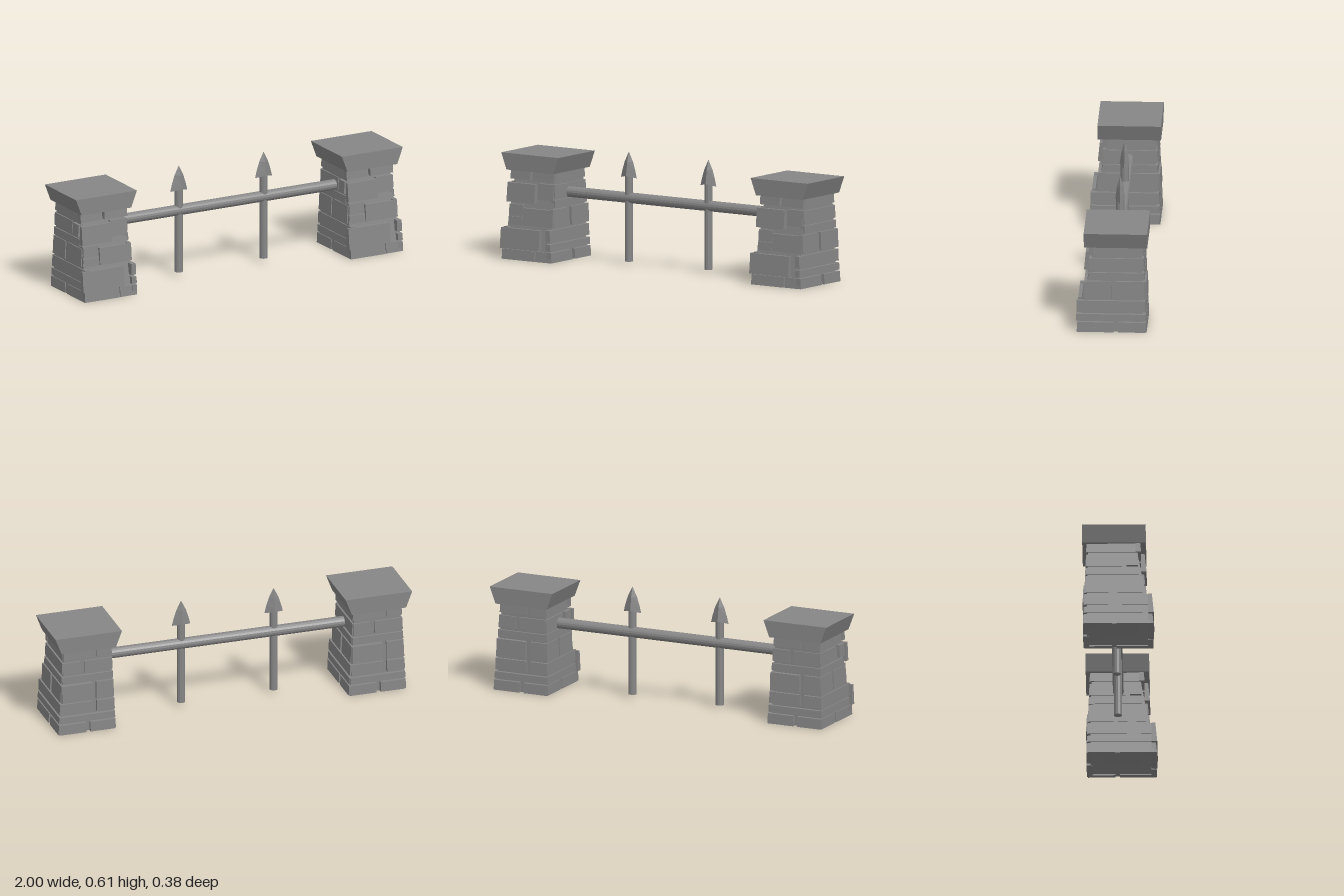
import * as THREE from 'three';

const mat = new THREE.MeshStandardMaterial({ color: 0x868686, flatShading: true });
const { lerp } = THREE.MathUtils;

function add(parent, name, geometry, x = 0, y = 0, z = 0) {
  const mesh = new THREE.Mesh(geometry, mat);
  mesh.name = name;
  mesh.position.set(x, y, z);
  parent.add(mesh);
  return mesh;
}

// Box whose bottom and top rectangles differ: each is [x0, x1, z0, z1]
function taperedBox(y0, y1, bottom, top) {
  const g = new THREE.BoxGeometry(1, 1, 1);
  const p = g.attributes.position;
  for (let i = 0; i < p.count; i++) {
    const up = p.getY(i) > 0;
    const r = up ? top : bottom;
    p.setXYZ(i, p.getX(i) > 0 ? r[1] : r[0], up ? y1 : y0, p.getZ(i) > 0 ? r[3] : r[2]);
  }
  g.computeVertexNormals();
  return g;
}

// Four-sided core with a funnel-shaped underside and a leaning front
function coreGeometry() {
  const profile = [[0, 0.035], [0.085, 0.035], [0.15, 0], [0.129, 0.476]]
    .map(([half, y]) => new THREE.Vector2(half * Math.SQRT2, y));
  const g = new THREE.LatheGeometry(profile, 4, Math.PI / 4);
  const p = g.attributes.position;
  for (let i = 0; i < p.count; i++) {
    const t = p.getY(i) / 0.476;
    p.setZ(i, p.getZ(i) * lerp(1.16, 0.98, t) + lerp(0.008, -0.033, t));
  }
  g.computeVertexNormals();
  return g;
}

// One stone on the side facing `turn`; its face leans in by `lean` per unit of height
function addStone(pillar, name, turn, u0, u1, y0, y1, reach, lean) {
  const inner = reach - 0.03;
  const top = reach - lean * (y1 - y0);
  add(pillar, name, taperedBox(y0, y1, [u0, u1, inner, reach], [u0, u1, inner, top])).rotation.y = turn;
}

// Irregular front stones: [left, right, bottom, top, reach]
const FRONT = [
  [-0.154, 0.057, 0, 0.055, 0.19],
  [0.064, 0.16, 0, 0.055, 0.187],
  [-0.165, 0.088, 0.058, 0.168, 0.192],
  [-0.14, -0.048, 0.182, 0.226, 0.15],
  [-0.138, -0.048, 0.232, 0.292, 0.146],
  [-0.042, 0.151, 0.185, 0.277, 0.156],
  [-0.149, 0.032, 0.305, 0.408, 0.153],
  [0.037, 0.138, 0.325, 0.412, 0.13],
  [-0.143, -0.015, 0.425, 0.475, 0.124],
  [0.001, 0.14, 0.425, 0.475, 0.126],
];

// Courses on the other sides: [bottom, top, front end]
const COURSES = [
  [0, 0.055, 0.185], [0.063, 0.1, 0.189], [0.112, 0.174, 0.187], [0.184, 0.282, 0.144],
  [0.29, 0.33, 0.123], [0.342, 0.41, 0.12], [0.425, 0.475, 0.116],
];

// How far each side reaches at height y
const rightReach = (y) => 0.167 - 0.065 * y;
const leftReach = (y) => 0.155 - 0.04 * y;
const backReach = (y) => 0.187 - 0.04 * y;

// Fill each course from end to end, with a joint where one is given;
// the stone after (or before) the joint of the proud course stands out
function addCourses(pillar, name, turn, joints, reach, ends, proud = -1, proudPart = 0) {
  COURSES.forEach(([y0, y1, front], i) => {
    const [u0, u1] = ends(y0, front);
    const joint = joints[i];
    const parts = joint === undefined ? [[u0, u1]] : [[u0, joint - 0.012], [joint + 0.012, u1]];
    parts.forEach(([a, b], k) => {
      const extra = i === proud && k === proudPart ? 0.01 : 0;
      addStone(pillar, name, turn, a, b, y0, y1, reach(y0) + extra, 0.05);
    });
  });
}

function createPillar() {
  const pillar = new THREE.Group();
  add(pillar, 'pillarCore', coreGeometry());
  for (const [u0, u1, y0, y1, reach] of FRONT) {
    addStone(pillar, 'frontStone', 0, u0, u1, y0, y1, reach, 0.1);
  }
  addCourses(pillar, 'rightStone', Math.PI / 2, { 0: 0.022, 3: 0.01 }, rightReach,
    (y, front) => [-front, backReach(y) - 0.006]);
  addCourses(pillar, 'leftStone', -Math.PI / 2, { 0: -0.018, 3: -0.03, 5: 0.035 }, leftReach,
    (y, front) => [0.006 - backReach(y), front - 0.012], 5, 1);
  addCourses(pillar, 'backStone', Math.PI, { 0: 0, 2: 0.037, 3: 0.035, 5: -0.03, 6: 0.037 }, backReach,
    (y) => [0.007 - rightReach(y), leftReach(y) - 0.007], 3, 0);
  // Cap flaring sideways only
  add(pillar, 'pillarCap', taperedBox(0.475, 0.565,
    [-0.152, 0.152, -0.19, 0.148], [-0.186, 0.186, -0.19, 0.148]));
  return pillar;
}

// Diamond-section spear head with drooping barbs; rings are [half width, half depth, y]
function spearHead() {
  const rings = [[0, 0, 0.485], [0.052, 0.027, 0.47], [0.042, 0.023, 0.51], [0.027, 0.016, 0.557], [0, 0, 0.611]];
  const corner = ([w, d, y], k) => {
    const a = k * Math.PI / 2;
    const lift = y === 0.47 && k % 2 ? 0.012 : 0;
    return [w * Math.cos(a), y + lift, d * Math.sin(a)];
  };
  const pos = [];
  for (let i = 0; i < rings.length - 1; i++) {
    for (let k = 0; k < 4; k++) {
      const a = corner(rings[i], k), b = corner(rings[i], k + 1);
      const c = corner(rings[i + 1], k + 1), d = corner(rings[i + 1], k);
      if (i > 0) pos.push(...a, ...c, ...b);
      if (i < rings.length - 2) pos.push(...a, ...d, ...c);
    }
  }
  const g = new THREE.BufferGeometry();
  g.setAttribute('position', new THREE.Float32BufferAttribute(pos, 3));
  g.computeVertexNormals();
  return g;
}

export function createModel() {
  const model = new THREE.Group();
  model.name = 'fence';

  // Stone pillars at both ends
  for (const x of [-0.814, 0.813]) {
    const pillar = createPillar();
    pillar.name = x > 0 ? 'leftPillar' : 'rightPillar';
    pillar.position.x = x;
    model.add(pillar);
  }

  // Horizontal rail
  add(model, 'rail', new THREE.CylinderGeometry(0.029, 0.029, 1.36, 16), 0, 0.362, -0.016).rotation.z = Math.PI / 2;

  // Upright spears
  for (const x of [-0.281, 0.238]) {
    const spear = new THREE.Group();
    spear.name = 'spear';
    spear.position.set(x, 0, -0.013);
    add(spear, 'spearShaft', new THREE.CylinderGeometry(0.022, 0.022, 0.475, 12), 0, 0.2575, 0);
    add(spear, 'spearHead', spearHead());
    model.add(spear);
  }
  return model;
}
